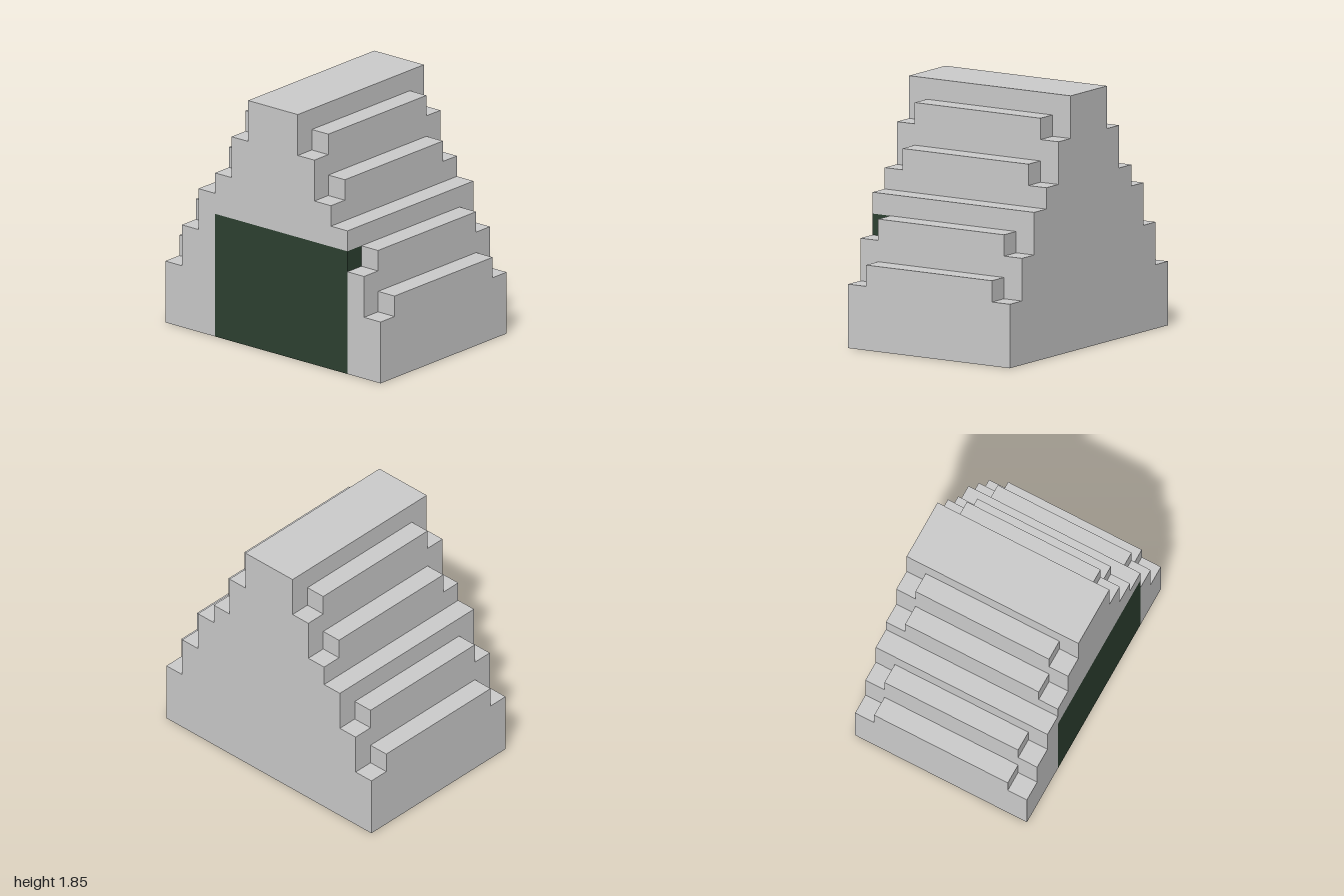
import * as THREE from 'three';

// Everything is laid out on a cubic grid: 13 wide, 12 high, 9 deep
const U = 2 / 13;
const stone = new THREE.MeshStandardMaterial({ color: 0xcccccc, flatShading: true });
const green = new THREE.MeshStandardMaterial({ color: 0x2d4131, flatShading: true });

// Gable steps from the ground up: outer half width, height
const STEPS = [[6.5, 3], [5.5, 5], [4.5, 7], [3.5, 8], [2.5, 10], [1.5, 12]];

// Stair outline climbing from the outside in, on one side
function stairs(side, steps) {
  const points = [];
  steps.forEach(([x, y], i) => {
    points.push([side * x, i ? steps[i - 1][1] : 0], [side * x, y]);
  });
  return points;
}

export function createModel() {
  const model = new THREE.Group();

  function add(name, geometry, material = stone) {
    geometry.scale(U, U, U);
    const mesh = new THREE.Mesh(geometry, material);
    mesh.name = name;
    model.add(mesh);
  }

  function slab(name, points, z0, z1) {
    const shape = new THREE.Shape(points.map(([x, y]) => new THREE.Vector2(x, y)));
    const geometry = new THREE.ExtrudeGeometry(shape, { depth: z1 - z0, bevelEnabled: false });
    add(name, geometry.translate(0, 0, z0));
  }

  function block(name, x0, x1, y0, y1, z0, z1, material) {
    const geometry = new THREE.BoxGeometry(x1 - x0, y1 - y0, z1 - z0);
    add(name, geometry.translate((x0 + x1) / 2, (y0 + y1) / 2, (z0 + z1) / 2), material);
  }

  // Stepped body behind the front wall
  const left = stairs(1, STEPS);
  const right = stairs(-1, STEPS);
  slab('body', [...left, ...[...right].reverse()], -4.5, 3.5);

  // Front wall around the off-centre door: right pier with gable, then left pier
  const gableLeft = stairs(1, STEPS.slice(2));
  gableLeft[0] = [4.5, 6];
  slab('frontGable', [...gableLeft, ...[...right].reverse(), [-3.5, 0], [-3.5, 6]], 3.5, 4.5);
  slab('frontPier', [[4.5, 0], ...stairs(1, STEPS.slice(0, 2)), [4.5, 5]], 3.5, 4.5);

  // Door panel flush with the front
  block('door', -3.5, 4.5, 0, 6, 3.5, 4.5, green);

  // Raised roof ridges, stopping one unit short of both gables
  for (const [x, y] of [[6, 3], [5, 5], [3, 8], [2, 10]]) {
    for (const side of [-1, 1]) {
      block('roofRidge', side * x - 0.5, side * x + 0.5, y, y + 1, -3.5, 3.5);
    }
  }

  return model;
}
